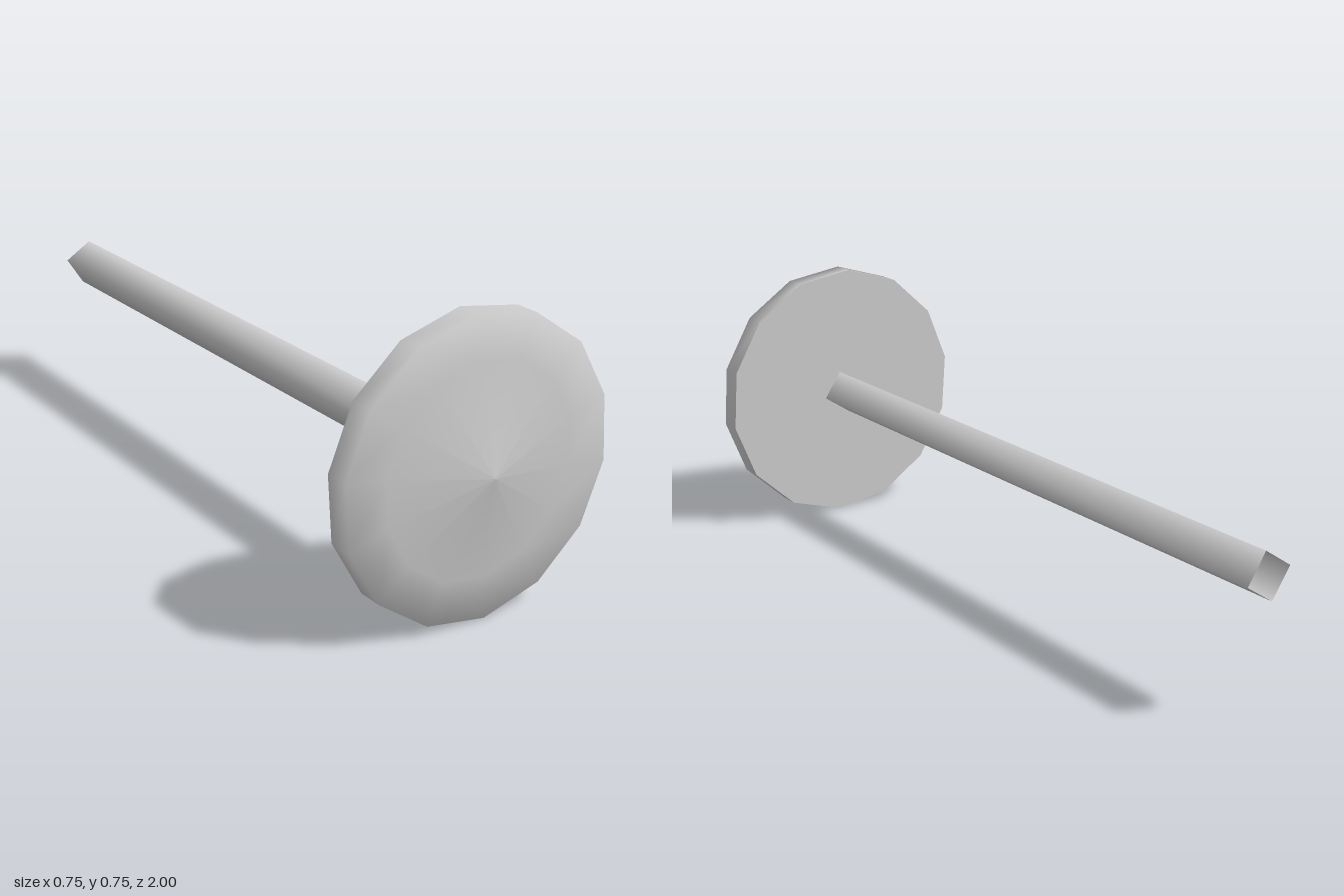
import * as THREE from 'three';

const AXIS_Y = 0.379;      // height of the common axis
const SIDES = 14;
const TURN = 0.075;        // roll of the head's corners
const RIM = 0.377;
const BACK = 0.885;        // z of the head's back face

export function createModel() {
  const group = new THREE.Group();
  const grey = new THREE.MeshStandardMaterial({ color: 0xcccccc, side: THREE.DoubleSide });
  grey.name = 'light grey';

  const add = (name, geometry) => {
    const mesh = new THREE.Mesh(geometry, grey);
    mesh.name = name;
    mesh.position.y = AXIS_Y;
    group.add(mesh);
  };

  // Head: smooth rim, flat shoulder and shallow cone, turned to face +z
  const profile = [[RIM, BACK], [RIM, 0.95], [0.268, 0.95], [0, 1]]
    .map(([r, z]) => new THREE.Vector2(r, z));
  add('head', new THREE.LatheGeometry(profile, SIDES, TURN).rotateX(Math.PI / 2));

  // Flat back of the head
  const back = new THREE.CircleGeometry(RIM, SIDES, Math.PI / 2 - TURN);
  add('headBack', back.rotateY(Math.PI).translate(0, 0, BACK));

  // Shaft: four-sided, smooth shaded, hollow and open at the far end
  const length = 1 + BACK;
  const shaft = new THREE.CylinderGeometry(0.065, 0.065, length, 4, 1, true, -0.2);
  add('shaft', shaft.rotateX(Math.PI / 2).translate(0, 0, BACK - length / 2));

  return group;
}
